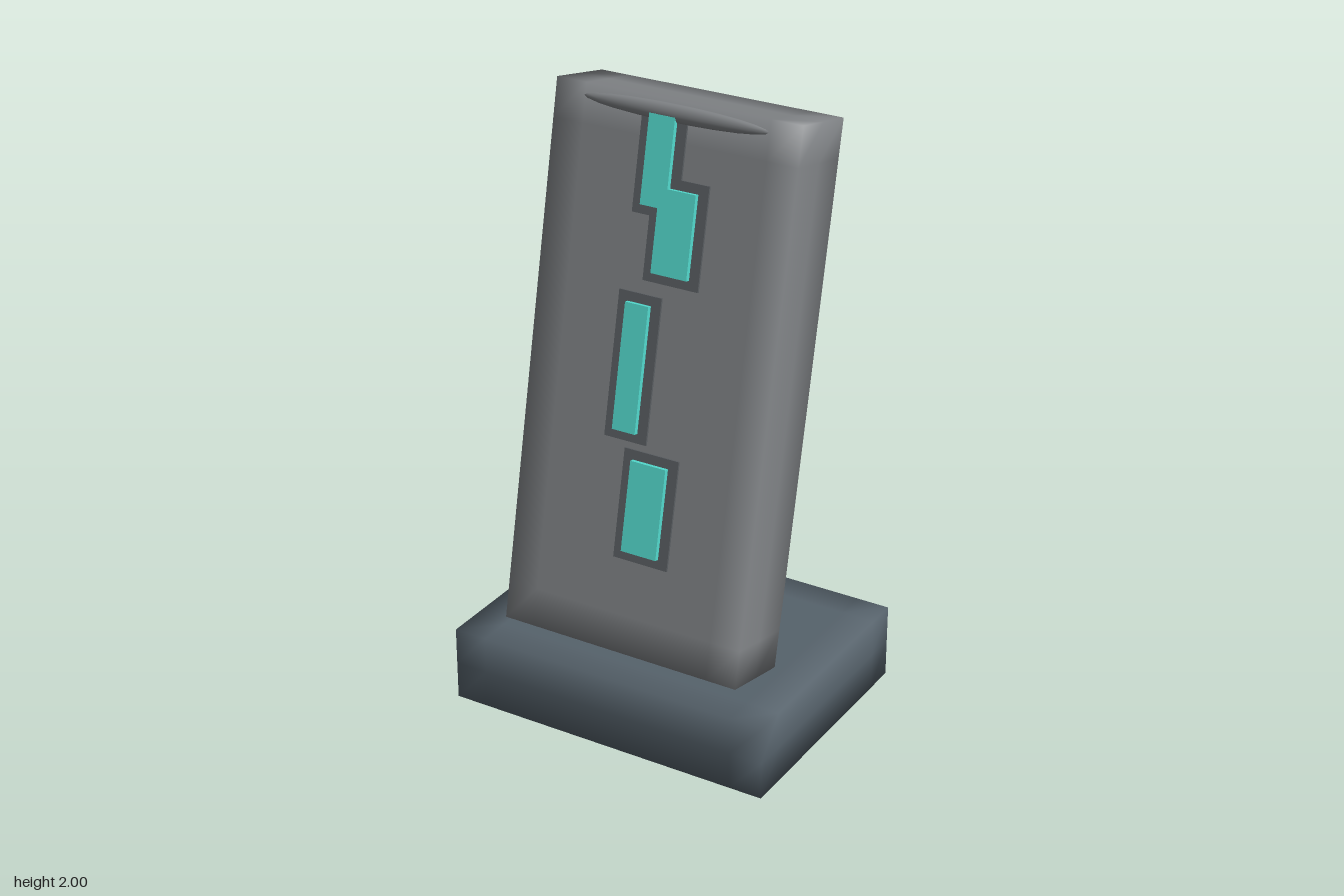
import * as THREE from 'three';
import { mergeVertices } from 'three/addons/utils/BufferGeometryUtils.js';

const flat = (name, color) => {
  const m = new THREE.MeshStandardMaterial({ color });
  m.name = name;
  return m;
};

// Box whose shading is softened near its edges
function softBox(w, h, d, sx, sy, sz) {
  const g = new THREE.BoxGeometry(w, h, d, sx, sy, sz);
  g.clearGroups();
  g.deleteAttribute('normal');
  g.deleteAttribute('uv');
  const merged = mergeVertices(g);
  merged.computeVertexNormals();
  return merged;
}

export function createModel() {
  const stone = flat('grey stone', 0x808386);
  const slate = flat('slate base', 0x56626b);
  const inlay = flat('dark inlay', 0x5a5e62);
  const glow = flat('turquoise glow', 0x54dccf);
  const model = new THREE.Group();

  const add = (parent, name, geometry, material, x, y, z) => {
    const mesh = new THREE.Mesh(geometry, material);
    mesh.name = name;
    mesh.position.set(x, y, z);
    parent.add(mesh);
    return mesh;
  };
  const pebble = (name, material, x, y, z, rx, ry, rz) =>
    add(model, name, new THREE.SphereGeometry(1, 20, 12), material, x, y, z).scale.set(rx, ry, rz);

  // Base block
  add(model, 'base', softBox(1.1, 0.245, 0.82, 10, 2, 8), slate, 0, 0.16, 0);

  // Leaning slab
  const tilt = 0.207, length = 1.706, thickness = 0.25;
  const slab = new THREE.Group();
  slab.name = 'leaningSlab';
  slab.position.set(0, 1.14, 0.0325);
  slab.rotation.x = -tilt;
  model.add(slab);
  add(slab, 'slabBody', softBox(0.825, length, thickness, 8, 14, 2), stone, 0, 0, 0);

  // Glowing runes: left, right, bottom, top
  const runes = [
    [-0.075, 0.012, 1.69, 1.955],
    [-0.015, 0.107, 1.5, 1.75],
    [-0.09, -0.01, 1.015, 1.4],
    [-0.015, 0.107, 0.655, 0.935],
  ];
  const front = thickness / 2;
  const toSlab = (y) => (y - 1.14 - front * Math.sin(tilt)) / Math.cos(tilt);
  runes.forEach(([x0, x1, y0, y1]) => {
    const w = x1 - x0, h = (y1 - y0) / Math.cos(tilt);
    const x = (x0 + x1) / 2, y = toSlab((y0 + y1) / 2);
    add(slab, 'runeSurround', new THREE.BoxGeometry(w + 0.066, h + 0.06, 0.008), inlay, x, y, front + 0.003);
    add(slab, 'rune', new THREE.BoxGeometry(w, h, 0.02), glow, x, y, front + 0.013);
  });

  // Long rounded ridge across the top of the slab
  pebble('topRidge', stone, 0, 1.965, -0.008, 0.31, 0.028, 0.02);

  // Pebble under the slab and two bumps under the base
  pebble('slabPebble', slate, 0.165, 0.275, 0.2, 0.13, 0.036, 0.065);
  pebble('largeFoot', slate, -0.395, 0.042, 0.2, 0.09, 0.037, 0.075);
  pebble('smallFoot', slate, 0.405, 0.042, 0.1, 0.055, 0.016, 0.045);

  return model;
}
